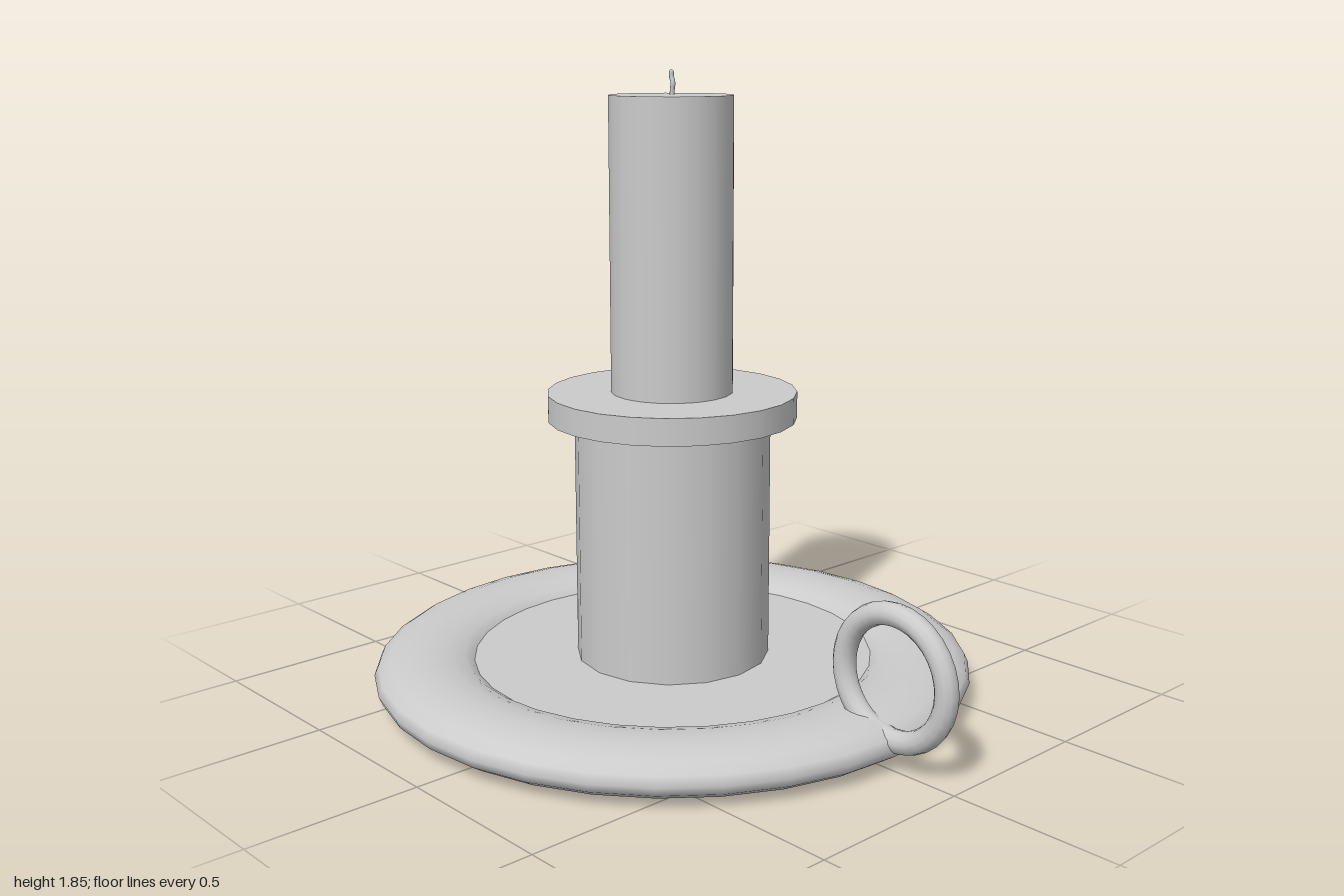
import * as THREE from 'three';

export function createModel() {
  const model = new THREE.Group();
  const material = new THREE.MeshStandardMaterial({ color: 0xcccccc });
  const axisX = -0.095; // shared axis of dish, socket and candle

  function add(name, geometry, x, y) {
    const mesh = new THREE.Mesh(geometry, material);
    mesh.name = name;
    mesh.position.set(x, y, 0);
    model.add(mesh);
  }

  // Upright cylinder standing between two heights
  function addColumn(name, radius, bottom, top, sides) {
    add(name, new THREE.CylinderGeometry(radius, radius, top - bottom, sides), axisX, (bottom + top) / 2);
  }

  // Dish: flattened ring around a flat plate
  const rim = new THREE.TorusGeometry(0.747, 0.158, 16, 32);
  rim.rotateX(Math.PI / 2);
  rim.scale(1, 0.07 / 0.158, 1);
  add('dishRim', rim, axisX, 0.07);
  addColumn('dishPlate', 0.64, 0.04, 0.1, 32);

  // Candle holder
  addColumn('socket', 0.293, 0.09, 0.84, 16);
  addColumn('dripCollar', 0.372, 0.833, 0.913, 24);

  // Candle with a slightly bent wick
  addColumn('candle', 0.182, 0.9, 1.78, 20);
  const wickPath = new THREE.CatmullRomCurve3([
    new THREE.Vector3(0.002, -0.02, 0),
    new THREE.Vector3(0.004, 0.015, 0),
    new THREE.Vector3(0.007, 0.035, 0),
    new THREE.Vector3(0.001, 0.05, 0),
    new THREE.Vector3(0, 0.065, 0),
  ]);
  add('wick', new THREE.TubeGeometry(wickPath, 10, 0.007, 8), axisX, 1.78);
  add('wickTip', new THREE.SphereGeometry(0.007, 8, 6), axisX, 1.844);

  // Finger ring sunk into the rim
  add('handleRing', new THREE.TorusGeometry(0.178, 0.033, 12, 32), 0.787, 0.265);

  return model;
}
